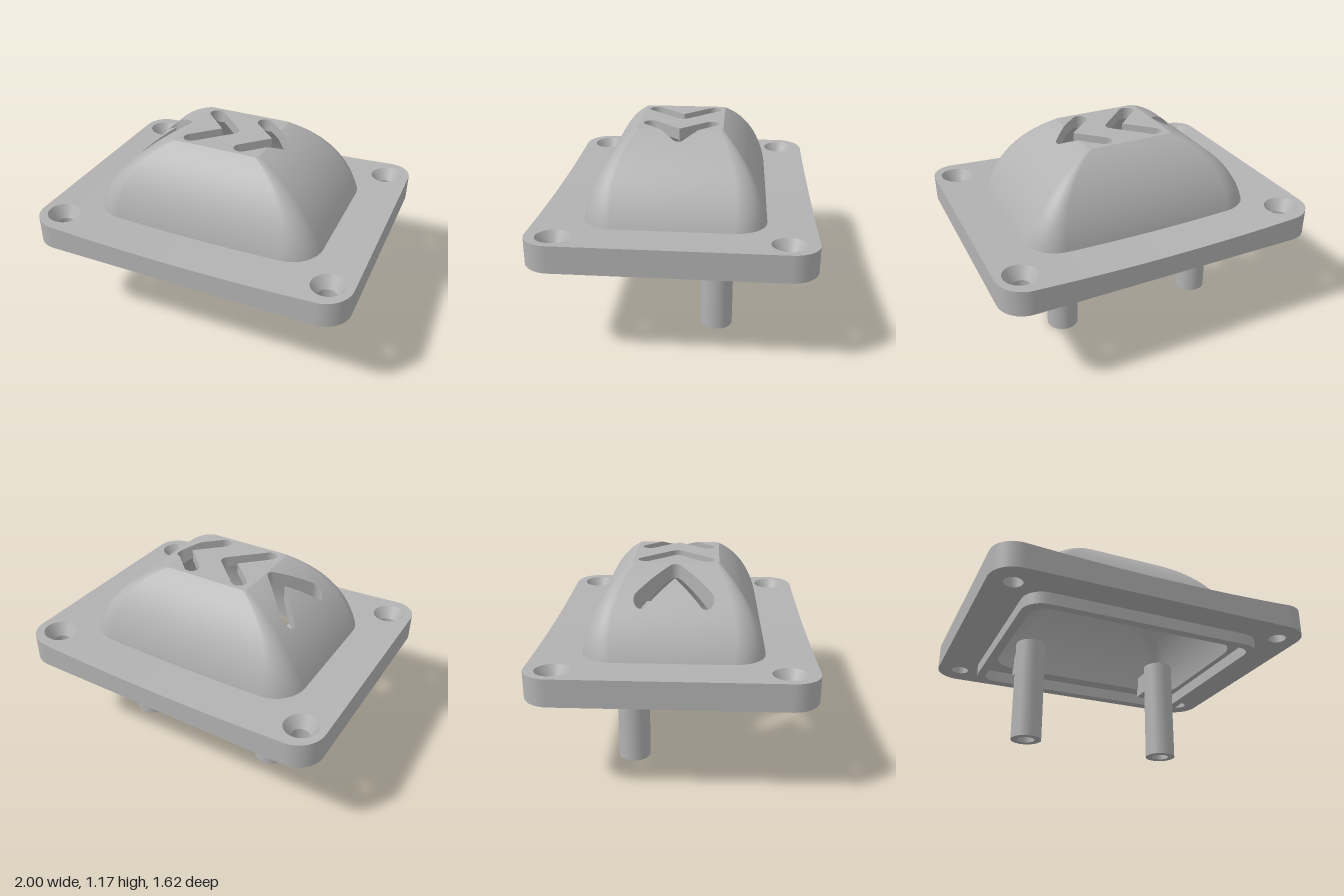
import * as THREE from 'three';
import { toCreasedNormals } from 'three/addons/utils/BufferGeometryUtils.js';

const metal = new THREE.MeshStandardMaterial({ color: 0xb2b2b2, side: THREE.DoubleSide });
metal.name = 'grey metal';

const PLATE_BOTTOM = 0.57, DOME_TOP = 1.175, INNER_TOP = 1.105, POCKET_X = -0.48;
const plateTop = (x) => 0.7 + 0.033 * x * x; // gently dished upper face

// Rounded rectangle outline as [x, z, outward nx, outward nz]
function roundRect(a, b, r, arcSteps = 8, edgeSteps = 8) {
  const corners = [[1, 1], [-1, 1], [-1, -1], [1, -1]], out = [];
  corners.forEach(([sx, sz], q) => {
    for (let i = 0; i <= arcSteps; i++) {
      const t = (q + i / arcSteps) * Math.PI / 2, c = Math.cos(t), s = Math.sin(t);
      out.push([sx * (a - r) + r * c, sz * (b - r) + r * s, c, s]);
    }
    const p = out[out.length - 1], [nx, nz] = corners[(q + 1) % 4];
    const e = [nx * (a - r) + r * p[2], nz * (b - r) + r * p[3]];
    for (let i = 1; i < edgeSteps; i++) {
      const t = i / edgeSteps;
      out.push([p[0] + (e[0] - p[0]) * t, p[1] + (e[1] - p[1]) * t, p[2], p[3]]);
    }
  });
  return out;
}

// Polygons hold vertices [x, y, z, nx, ny, nz]; split one by the vertical plane through a and b
function split(poly, a, b, sign) {
  const side = (p) => sign * ((b[0] - a[0]) * (p[2] - a[2]) - (b[2] - a[2]) * (p[0] - a[0]));
  const inside = [], outside = [];
  poly.forEach((p, i) => {
    const q = poly[(i + 1) % poly.length], dp = side(p), dq = side(q);
    (dp >= 0 ? inside : outside).push(p);
    if ((dp >= 0) !== (dq >= 0)) {
      const m = p.map((v, k) => v + (q[k] - v) * dp / (dp - dq));
      inside.push(m);
      outside.push(m);
    }
  });
  return [inside, outside];
}

// Remove convex cutters, seen from above, from a list of convex polygons
function cutAway(polys, cutters) {
  for (const cut of cutters) {
    const area = cut.reduce((s, p, i) => {
      const q = cut[(i + 1) % cut.length];
      return s + p[0] * q[2] - q[0] * p[2];
    }, 0);
    polys = polys.flatMap((poly) => {
      let rest = poly;
      const kept = [];
      for (let i = 0; i < cut.length && rest.length > 2; i++) {
        const [ins, outs] = split(rest, cut[i], cut[(i + 1) % cut.length], Math.sign(area));
        if (outs.length > 2) kept.push(outs);
        rest = ins;
      }
      return rest.length > 2 ? kept : [poly];
    });
  }
  return polys;
}

// Turn polygons into a geometry, wound to agree with their normals
function surface(polys) {
  const pos = [], nor = [], ab = new THREE.Vector3(), ac = new THREE.Vector3();
  for (const f of polys) for (let i = 1; i < f.length - 1; i++) {
    let [a, b, c] = [f[0], f[i], f[i + 1]];
    ab.set(b[0] - a[0], b[1] - a[1], b[2] - a[2]);
    ac.set(c[0] - a[0], c[1] - a[1], c[2] - a[2]);
    const n = ab.cross(ac);
    if (n.length() < 1e-10) continue;
    if (n.dot(ac.set(a[3] + b[3] + c[3], a[4] + b[4] + c[4], a[5] + b[5] + c[5])) < 0) [b, c] = [c, b];
    for (const v of [a, b, c]) {
      pos.push(v[0], v[1], v[2]);
      nor.push(v[3], v[4], v[5]);
    }
  }
  const g = new THREE.BufferGeometry();
  g.setAttribute('position', new THREE.Float32BufferAttribute(pos, 3));
  g.setAttribute('normal', new THREE.Float32BufferAttribute(nor, 3));
  return g;
}

// Circular arc from (x0, y0) up to (x1, y1) with a given bulge, as x(y)
function arc(x0, y0, x1, y1, sag) {
  const dx = x0 - x1, dy = y1 - y0, L = Math.hypot(dx, dy), R = L * L / (8 * sag) + sag / 2;
  const cx = (x0 + x1) / 2 - dy / L * (R - sag), cy = (y0 + y1) / 2 - dx / L * (R - sag);
  return (y) => cx + Math.sqrt(R * R - (y - cy) ** 2);
}

// Dome shell: a rounded-rectangle section for every height
function shell(y0, top, ax, az, r0) {
  const section = (y) => [ax(y), az(y), 0.02 + r0 * (top - y) / (top - y0)];
  const height = (x, z) => {
    let lo = y0, hi = top;
    for (let i = 0; i < 30; i++) {
      const y = (lo + hi) / 2, [a, b, r] = section(y);
      const qx = Math.abs(x) - a + r, qz = Math.abs(z) - b + r;
      const d = Math.hypot(Math.max(qx, 0), Math.max(qz, 0)) + Math.min(Math.max(qx, qz), 0) - r;
      if (d < 0) lo = y; else hi = y;
    }
    return lo;
  };
  const faces = (sign) => {
    const rings = [], steps = 22, e = 1e-4;
    for (let j = 0; j <= steps; j++) {
      const y = y0 + (top - y0) * j / steps, below = roundRect(...section(y - e));
      rings.push(roundRect(...section(y)).map(([x, z, nx, nz], k) => {
        const ny = ((below[k][0] - x) * nx + (below[k][1] - z) * nz) / e, l = sign / Math.hypot(1, ny);
        return [x, y, z, nx * l, ny * l, nz * l];
      }));
    }
    const out = [rings[steps].map(([x, y, z]) => [x, y, z, 0, sign, 0])];
    for (let j = 0; j < steps; j++) rings[j].forEach((p, k) => {
      const n = (k + 1) % rings[j].length, q = rings[j][n], s = rings[j + 1][n], t = rings[j + 1][k];
      out.push([p, q, s], [p, s, t]);
    });
    return out;
  };
  return { section, height, faces };
}

// Half of a chevron slot, a convex outline from tip to notch
function halfChevron(cx, mirror) {
  const r = 0.046, arm = 0.185, pts = [];
  for (let i = 0; i <= 4; i++) pts.push([cx, 0, -i / 4 * Math.PI / 4]);
  for (let i = 0; i <= 12; i++) pts.push([cx - arm, -arm, -Math.PI / 4 - i / 12 * Math.PI]);
  const out = pts.map(([x, z, t]) => [x + r * Math.cos(t), 0, mirror * (z + r * Math.sin(t)), 0, 1, 0]);
  out.push([cx - r * Math.SQRT2, 0, 0, 0, 1, 0]);
  return out;
}

const circle = (x, z, r) => Array.from({ length: 32 }, (_, i) => {
  const t = i / 32 * Math.PI * 2;
  return [x + r * Math.cos(t), 0, z + r * Math.sin(t)];
});

export function createModel() {
  const group = new THREE.Group();
  const add = (name, geo) => {
    const m = new THREE.Mesh(geo, metal);
    m.name = name;
    group.add(m);
    return m;
  };

  const outer = shell(0.69, DOME_TOP, arc(0.738, 0.69, 0.275, DOME_TOP, 0.073), arc(0.535, 0.69, 0.258, DOME_TOP, 0.056), 0.18);
  const inner = shell(PLATE_BOTTOM, INNER_TOP, arc(0.67, PLATE_BOTTOM, 0.25, INNER_TOP, 0.075), arc(0.47, PLATE_BOTTOM, 0.22, INNER_TOP, 0.055), 0.13);

  // Dome with chevron slots; the rearmost slot ends in a shallow pocket
  const slots = [-0.33, -0.005, 0.325].flatMap((x) => [halfChevron(x, 1), halfChevron(x, -1)]);
  const pocketY = inner.height(POCKET_X, 0);
  const parts = slots.map((s) => split(s, [POCKET_X, 0, 0], [POCKET_X, 0, 1], -1));
  add('domeOutside', surface(cutAway(outer.faces(1), slots)));
  add('domeInside', surface(cutAway(inner.faces(-1), parts.map((p) => p[0]).filter((p) => p.length > 2))));
  add('slotPocketFloors', surface(parts.map((p) => p[1]).filter((p) => p.length > 2)
    .map((p) => p.map((v) => [v[0], pocketY, v[2], 0, 1, 0]))));

  // Slot walls
  const walls = [];
  for (const s of slots) for (let i = 0; i < s.length - 1; i++) {
    const a = s[i], b = s[i + 1], dx = b[0] - a[0], dz = b[2] - a[2], l = Math.hypot(dx, dz);
    const sg = Math.sign(s[10][2]) / l, n = [-dz * sg, 0, dx * sg];
    const steps = Math.ceil(l / 0.02);
    const column = (t) => {
      const x = a[0] + dx * t, z = a[2] + dz * t;
      const low = x < POCKET_X ? pocketY : inner.height(x, z);
      return [[x, low, z, ...n], [x, outer.height(x, z), z, ...n]];
    };
    for (let k = 0; k < steps; k++) {
      const [p, q] = column(k / steps), [u, v] = column((k + 1) / steps);
      walls.push([p, u, v, q]);
    }
  }
  add('slotWalls', surface(walls));

  // Mounting plate: strips across x with the opening and screw holes removed
  const R = 0.16, rim = roundRect(1, 0.81, R, 10, 16);
  const xs = [...new Set(rim.map((p) => +p[0].toFixed(4)))].sort((a, b) => a - b);
  const halfZ = (x) => 0.81 - R + Math.sqrt(R * R - Math.min(R, Math.max(0, Math.abs(x) - 1 + R)) ** 2);
  const screws = [[1, 1], [-1, 1], [-1, -1], [1, -1]].map(([sx, sz]) => [sx * 0.855, sz * 0.645]);
  const opening = roundRect(...inner.section(PLATE_BOTTOM)).map(([x, z]) => [x, 0, z]);
  const sheet = (yOf, up, holeR) => {
    const vert = (x, z) => {
      const s = up > 0 ? -0.066 * x : 0, l = Math.hypot(1, s);
      return [x, yOf(x), z, s / l, up / l, 0];
    };
    const strips = xs.slice(1).map((x, i) => {
      const w = xs[i], hw = halfZ(w), hx = halfZ(x);
      return [vert(w, -hw), vert(x, -hx), vert(x, hx), vert(w, hw)];
    });
    return surface(cutAway(strips, [opening, ...screws.map(([x, z]) => circle(x, z, holeR))]));
  };
  add('plateTop', sheet(plateTop, 1, 0.1));
  add('plateUnderside', sheet(() => PLATE_BOTTOM, -1, 0.055));
  add('plateEdge', surface(rim.map((p, i) => {
    const q = rim[(i + 1) % rim.length];
    const v = (c, y) => [c[0], y, c[1], c[2], 0, c[3]];
    return [v(p, PLATE_BOTTOM), v(q, PLATE_BOTTOM), v(q, plateTop(q[0])), v(p, plateTop(p[0]))];
  })));

  // Countersunk screw holes
  const lathe = (pts) => new THREE.LatheGeometry(pts.map((p) => new THREE.Vector2(...p)), 32);
  for (const [x, z] of screws) {
    const g = lathe([[0.1, 0.726], [0.055, 0.65], [0.055, PLATE_BOTTOM]]).translate(x, 0, z), p = g.attributes.position;
    for (let i = 0; i < p.count; i++) if (p.getY(i) > 0.7) p.setY(i, plateTop(p.getX(i)));
    add('screwHole', toCreasedNormals(g, 0.5));
  }

  // Locating lip under the plate
  const ring = (a, b, r) => roundRect(a, b, r).map(([x, z]) => new THREE.Vector2(x, z));
  const lip = new THREE.Shape(ring(0.763, 0.622, 0.13));
  lip.holes.push(new THREE.Path(ring(0.708, 0.567, 0.08)));
  const lipGeo = new THREE.ExtrudeGeometry(lip, { depth: 0.073, bevelEnabled: false });
  add('lip', toCreasedNormals(lipGeo.rotateX(Math.PI / 2).translate(0, PLATE_BOTTOM, 0), 0.5));

  // Hollow posts, each tied to the back wall by a bracket
  for (const side of [1, -1]) {
    const post = lathe([[0, 0.4], [0.055, 0.4], [0.055, 0], [0.097, 0], [0.097, 0.66], [0, 0.66]]);
    add('post', toCreasedNormals(post, 0.5)).position.set(side * 0.475, 0, -0.247);
    add('postBracket', new THREE.BoxGeometry(0.1, 0.14, 0.17)).position.set(side * 0.475, 0.585, -0.4);
  }
  return group;
}
